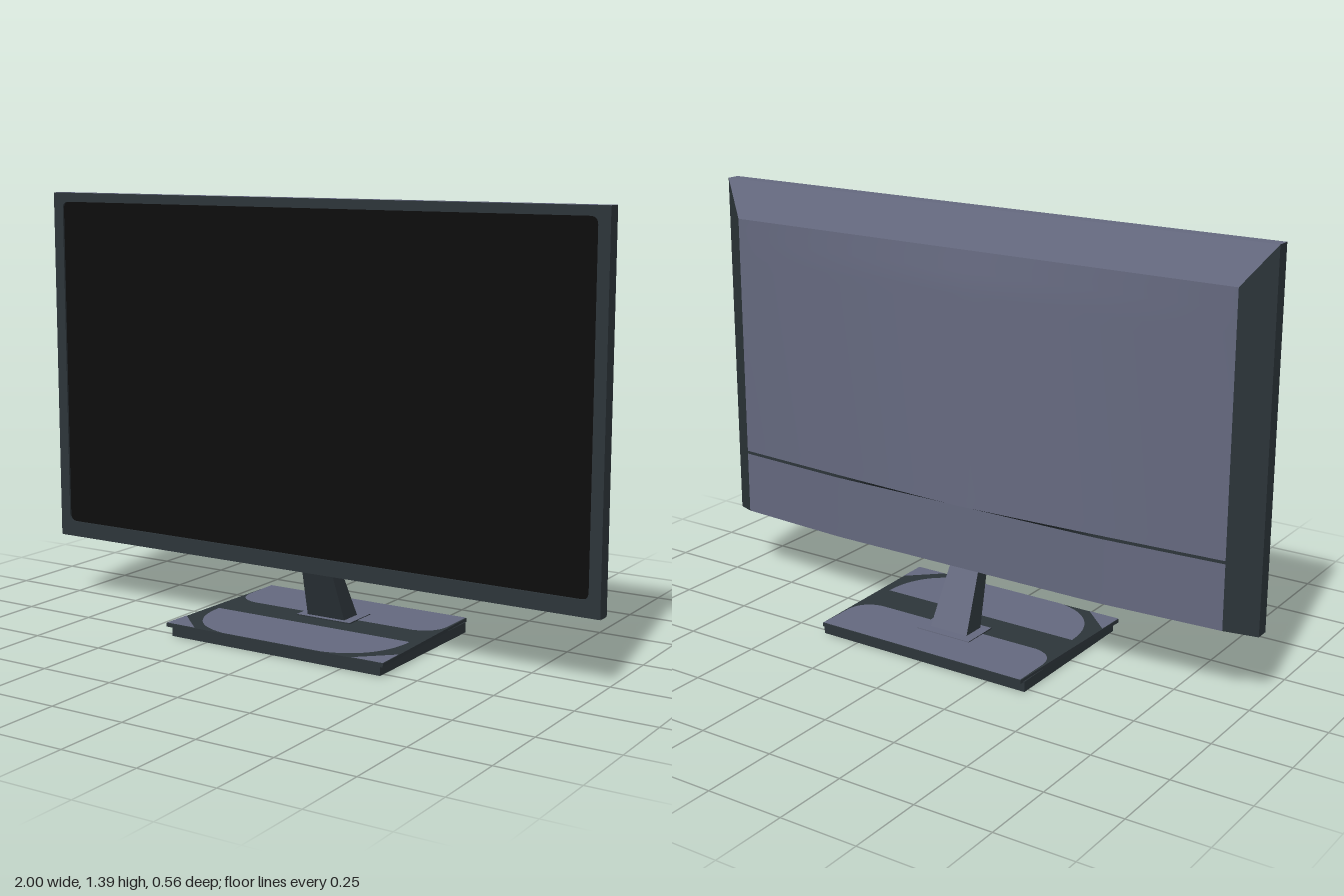
import * as THREE from 'three';

const mat = (name, color, side = THREE.FrontSide) => {
  const m = new THREE.MeshStandardMaterial({ color, side });
  m.name = name;
  return m;
};

export function createModel() {
  const group = new THREE.Group();
  const dark = mat('charcoal plastic', 0x2d353a);
  const light = mat('slate plastic', 0x65697f, THREE.DoubleSide);
  const black = mat('screen black', 0x0d0d0d);

  const add = (name, geometry, material, parent = group) => {
    const mesh = new THREE.Mesh(geometry, material);
    mesh.name = name;
    parent.add(mesh);
    return mesh;
  };

  // Four-cornered face, corners counter-clockwise from outside
  const quad = (...c) => {
    const g = new THREE.BufferGeometry();
    g.setAttribute('position', new THREE.Float32BufferAttribute([0, 1, 2, 0, 2, 3].flatMap(i => c[i]), 3));
    g.computeVertexNormals();
    return g;
  };

  // Smooth sheet facing backwards: s runs -1..1 across, t runs 0..1 upwards
  const sheet = (nx, ny, fn) => {
    const g = new THREE.PlaneGeometry(2, 1, nx, ny);
    const p = g.attributes.position;
    for (let i = 0; i < p.count; i++) p.setXYZ(i, ...fn(-p.getX(i), p.getY(i) + 0.5));
    g.computeVertexNormals();
    return g;
  };

  const roundRect = (path, x, y0, y1, r) => {
    path.moveTo(-x + r, y0);
    path.lineTo(x - r, y0);
    path.quadraticCurveTo(x, y0, x, y0 + r);
    path.lineTo(x, y1 - r);
    path.quadraticCurveTo(x, y1, x - r, y1);
    path.lineTo(-x + r, y1);
    path.quadraticCurveTo(-x, y1, -x, y1 - r);
    path.lineTo(-x, y0 + r);
    path.quadraticCurveTo(-x, y0, -x + r, y0);
    return path;
  };

  // Display: front frame and recessed screen
  const display = new THREE.Group();
  display.name = 'display';
  group.add(display);
  const frame = roundRect(new THREE.Shape(), 0.9995, 0.2205, 1.3895, 0.004);
  frame.holes.push(roundRect(new THREE.Path(), 0.962, 0.272, 1.36, 0.025));
  add('frontFrame', new THREE.ExtrudeGeometry(frame, { depth: 0.01, bevelEnabled: false }), dark, display)
    .position.z = 0.075;
  add('screen', new THREE.PlaneGeometry(1.94, 1.1), black, display).position.set(0, 0.816, 0.079);

  // Case walls: straight rim, then chamfers towards the back
  const ring = (x, y0, y1, z) => [[-x, y0, z], [x, y0, z], [x, y1, z], [-x, y1, z]];
  const rings = [ring(1, 0.22, 1.39, 0.085), ring(1, 0.22, 1.39, 0.04), ring(0.91, 0.24, 1.27, -0.02)];
  const sides = ['Bottom', 'Left', 'Top', 'Right'];
  for (let k = 0; k < 2; k++) {
    sides.forEach((side, i) => {
      const j = (i + 1) % 4, a = rings[k], b = rings[k + 1];
      add((k ? 'chamfer' : 'rim') + side, quad(a[i], b[i], b[j], a[j]), side === 'Top' ? light : dark, display);
    });
  }

  // Domed back with a shallow step across the middle
  const dome = s => 0.05 * (1 - Math.abs(s) ** 1.2);
  const lowDome = s => Math.min(dome(s), 0.026);
  const fade = t => (t < 0.87 ? 1 - 0.7 * t / 0.87 : 0.3 * (1 - t) / 0.13);
  add('backUpper', sheet(40, 24, (s, t) => [0.91 * s, 0.46 + 0.81 * t, -0.02 - dome(s) * fade(t)]), light, display);
  add('backStep', sheet(40, 1, (s, t) => [0.91 * s, 0.45 + 0.01 * t, -0.02 - (t > 0.5 ? dome(s) : lowDome(s))]), dark, display);
  add('backLower', sheet(40, 4, (s, t) => [0.91 * s, 0.24 + 0.21 * t, -0.02 - lowDome(s)]), light, display);
  add('backUnderside', sheet(40, 1, (s, t) => [0.91 * s, 0.24, -0.02 - lowDome(s) * t]), dark, display);

  // Leaning, tapered neck
  const stand = new THREE.Group();
  stand.name = 'stand';
  group.add(stand);
  const neck = new THREE.BoxGeometry(2, 1, 1);
  const p = neck.attributes.position;
  for (let i = 0; i < p.count; i++) {
    const top = p.getY(i) > 0, front = p.getZ(i) > 0;
    p.setXYZ(i, p.getX(i) * (top ? 0.054 : 0.07), top ? 0.24 : 0.04,
      top ? (front ? 0.026 : -0.026) : (front ? -0.04 : -0.12));
  }
  neck.computeVertexNormals();
  add('neck', neck, [dark, dark, dark, dark, dark, light], stand);
  add('neckFoot', new THREE.BoxGeometry(0.2, 0.012, 0.13), [dark, dark, light, dark, dark, light], stand)
    .position.set(0, 0.041, -0.085);

  // Base: lower slab and wider top plate
  add('baseSlab', new THREE.BoxGeometry(0.77, 0.034, 0.54), dark, stand).position.set(0, 0.017, 0);
  const flat = (name, shape, y, depth, material) => {
    const g = depth ? new THREE.ExtrudeGeometry(shape, { depth, bevelEnabled: false }) : new THREE.ShapeGeometry(shape, 16);
    add(name, g.rotateX(-Math.PI / 2), material, stand).position.y = y;
  };
  const polygon = pts => new THREE.Shape(pts.map(([x, z]) => new THREE.Vector2(x, -z)));
  flat('basePlate', polygon([[-0.4, 0.28], [0.4, 0.28], [0.38, -0.285], [-0.38, -0.285]]), 0.031, 0.012, dark);

  // Lighter panels on the base top
  const frontPanel = new THREE.Shape();
  frontPanel.moveTo(-0.18, -0.279);
  frontPanel.lineTo(0.18, -0.279);
  frontPanel.bezierCurveTo(0.3, -0.26, 0.36, -0.17, 0.36, -0.05);
  frontPanel.lineTo(-0.36, -0.05);
  frontPanel.bezierCurveTo(-0.36, -0.17, -0.3, -0.26, -0.18, -0.279);
  flat('baseFrontPanel', frontPanel, 0.0445, 0, light);
  const backPanel = new THREE.Shape();
  backPanel.moveTo(-0.378, 0.284);
  backPanel.lineTo(-0.378, 0.15);
  backPanel.quadraticCurveTo(-0.37, 0.08, -0.3, 0.07);
  backPanel.lineTo(0.3, 0.07);
  backPanel.quadraticCurveTo(0.37, 0.08, 0.378, 0.15);
  backPanel.lineTo(0.378, 0.284);
  flat('baseBackPanel', backPanel, 0.0445, 0, light);
  for (const s of [1, -1]) {
    flat('baseCornerPanel', polygon([[0.399 * s, 0.279], [0.29 * s, 0.279], [0.396 * s, 0.18]]), 0.0445, 0, light);
  }
  return group;
}
